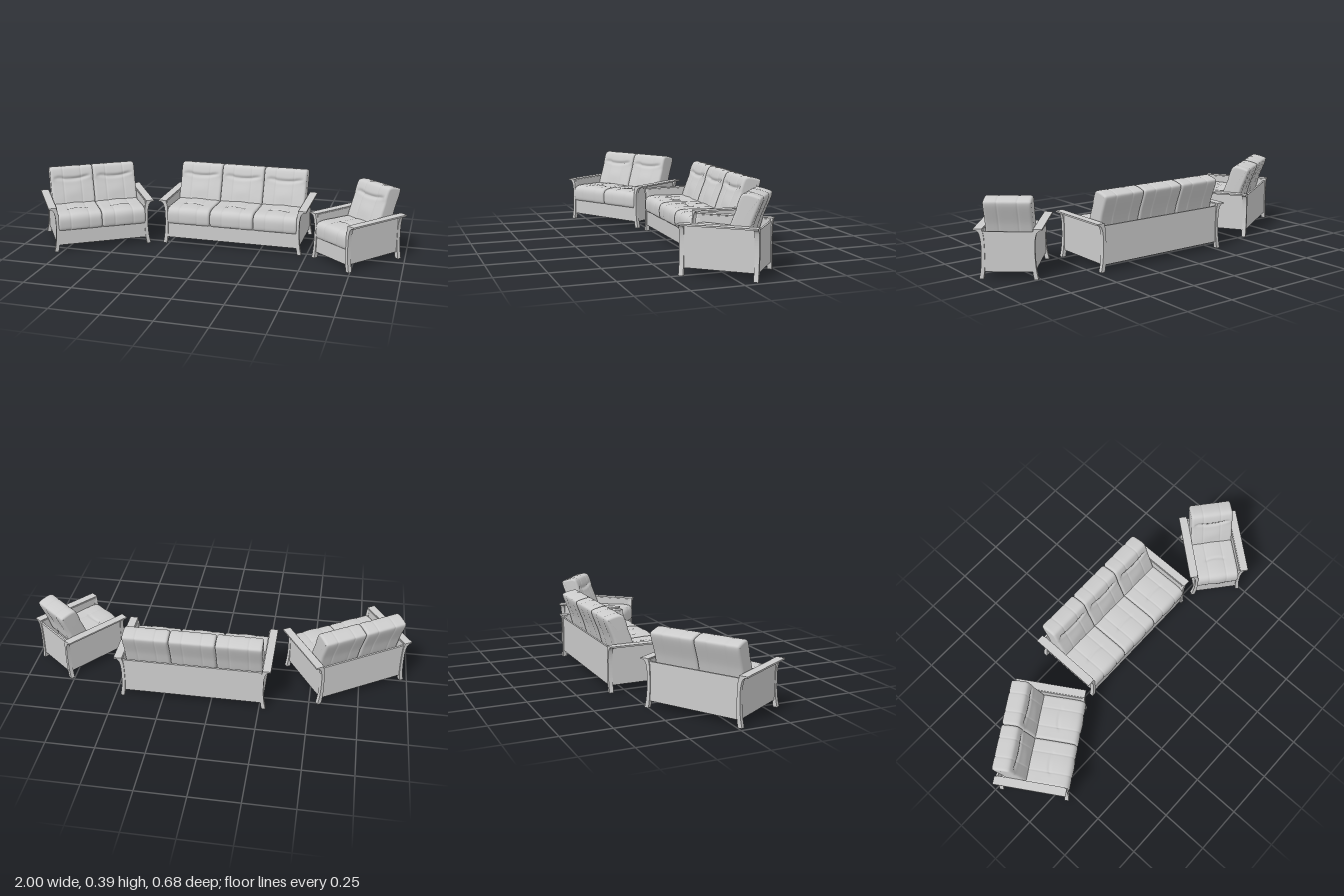
import * as THREE from 'three';

const grey = new THREE.MeshStandardMaterial({ color: 0xcccccc });
const SEAT = 0.24;                 // width of one seat
const BACK = -0.34, FRONT = 0.03;  // depth range of the wooden frame

const add = (parent, name, geometry) => {
  const mesh = new THREE.Mesh(geometry, grey);
  mesh.name = name;
  parent.add(mesh);
  return mesh;
};

const box = (parent, name, x0, x1, y0, y1, z0, z1) =>
  add(parent, name, new THREE.BoxGeometry(Math.abs(x1 - x0), y1 - y0, z1 - z0))
    .position.set((x0 + x1) / 2, (y0 + y1) / 2, (z0 + z1) / 2);

const bump = (d, width) => Math.exp(-((d / width) ** 2));

// Columns across a cushion, closer together at the seams and rounded sides
const half = [0.02, 0.04, 0.047, 0.05, 0.053, 0.06, 0.08, 0.1, 0.107, 0.112, 0.1155, 0.118, 0.119];
const columns = [...half.map(x => -x).reverse(), 0, ...half];

// Cushion: a closed [z, y] profile swept across x, pushed inwards at sides and seams
function cushionGeometry(profile, dent, count = 110) {
  const curve = new THREE.CatmullRomCurve3(profile.map(([z, y]) => new THREE.Vector3(0, y, z)), true);
  const pos = [], index = [], radius = 0.012;
  const loop = Array.from({ length: count }, (_, j) => {
    const p = curve.getPointAt(j / count), t = curve.getTangentAt(j / count);
    return { z: p.z, y: p.y, nz: t.y, ny: -t.z };
  });
  for (const x of columns) {
    const k = Math.max(0, radius - (0.119 - Math.abs(x)));
    const round = radius - Math.sqrt(radius * radius - k * k);
    for (const p of loop) {
      const d = round + dent(x, p);
      pos.push(x, p.y - p.ny * d, p.z - p.nz * d);
    }
  }
  const last = columns.length - 1;
  for (let i = 0; i < last; i++) {
    for (let j = 0; j < count; j++) {
      const a = i * count + j, b = i * count + (j + 1) % count;
      index.push(a, a + count, b + count, a, b + count, b);
    }
  }
  // Flat sides
  const cy = loop.reduce((s, p) => s + p.y, 0) / count;
  const cz = loop.reduce((s, p) => s + p.z, 0) / count;
  const c = pos.length / 3;
  pos.push(columns[0], cy, cz, columns[last], cy, cz);
  for (let j = 0; j < count; j++) {
    const n = (j + 1) % count;
    index.push(c, j, n, c + 1, last * count + n, last * count + j);
  }
  const g = new THREE.BufferGeometry();
  g.setAttribute('position', new THREE.Float32BufferAttribute(pos, 3));
  g.setIndex(index);
  g.computeVertexNormals();
  return g;
}

const seatGeometry = cushionGeometry([
  [-0.24, 0.115], [-0.1, 0.113], [0.015, 0.112], [0.03, 0.118], [0.036, 0.15], [0.033, 0.18],
  [0.021, 0.196], [-0.01, 0.203], [-0.1, 0.201], [-0.2, 0.196], [-0.24, 0.185],
], (x, p) => {
  const upper = p.ny > -0.5 ? 1 : 0;
  const seams = 0.003 * bump(Math.abs(x) - 0.05, 0.003);
  const cross = Math.abs(x) < 0.055 && p.ny > 0.5 ? 0.004 * bump(p.z + 0.085 - 3 * x * x, 0.007) : 0;
  const puff = -0.003 * bump(x, 0.035);
  return upper * (seams + cross + puff);
});

const backGeometry = cushionGeometry([
  [-0.265, 0.165], [-0.195, 0.162], [-0.18, 0.175], [-0.188, 0.21], [-0.208, 0.265], [-0.226, 0.312],
  [-0.229, 0.328], [-0.243, 0.367], [-0.252, 0.38], [-0.27, 0.385], [-0.325, 0.373], [-0.337, 0.366],
  [-0.337, 0.353], [-0.302, 0.26], [-0.277, 0.18],
], (x, p) => {
  const seams = 0.003 * bump(Math.abs(x) - 0.05, 0.003);
  if (p.nz < 0.4) return seams;
  // Headrest crease bowing down in the middle, and a full lumbar area
  const crease = Math.abs(x) < 0.085 ? 0.01 * bump(p.y - 0.322 - 1.5 * x * x, 0.009) : 0;
  const lumbar = -0.004 * bump(x, 0.05) * bump(p.y - 0.25, 0.03);
  return seams + crease + lumbar;
});

// Post outline seen from the front; x counts outwards from the side of the seats
function postGeometry(edge, side) {
  const P = (x, y) => new THREE.Vector2(side * (edge + x), y);
  const outer = new THREE.SplineCurve([P(0.019, 0), P(0.011, 0.04), P(0.006, 0.09), P(0.005, 0.16),
    P(0.009, 0.2), P(0.018, 0.225), P(0.038, 0.237)]).getPoints(24);
  const inner = new THREE.SplineCurve([P(0, 0.238), P(-0.009, 0.2), P(-0.011, 0.1), P(-0.008, 0.04),
    P(-0.002, 0)]).getPoints(16);
  return new THREE.ExtrudeGeometry(new THREE.Shape([...outer, ...inner]),
    { depth: 0.022, bevelEnabled: false });
}

function makeSofa(name, seats, x, z, turn) {
  const unit = new THREE.Group();
  unit.name = name;
  unit.position.set(x, 0, z);
  unit.rotation.y = turn;
  const body = new THREE.Group();
  body.name = 'body';
  body.position.z = -(BACK + FRONT) / 2;
  unit.add(body);
  const edge = seats * SEAT / 2;

  // Closed base and upright back panel
  box(body, 'base', -edge + 0.004, edge - 0.004, 0.035, 0.116, BACK + 0.01, FRONT - 0.006);
  box(body, 'backPanel', -edge + 0.004, edge - 0.004, 0.035, 0.227, BACK + 0.006, BACK + 0.016);

  // Arms: posts with feet, side panel and flat armrest
  for (const side of [-1, 1]) {
    const arm = new THREE.Group();
    arm.name = side > 0 ? 'leftArm' : 'rightArm';
    body.add(arm);
    const post = postGeometry(edge, side);
    add(arm, 'frontPost', post).position.z = FRONT - 0.023;
    add(arm, 'backPost', post).position.z = BACK + 0.001;
    box(arm, 'sidePanel', side * (edge - 0.006), side * (edge + 0.003), 0.035, 0.236, BACK + 0.012, FRONT - 0.012);
    box(arm, 'armrest', side * (edge - 0.002), side * (edge + 0.04), 0.233, 0.241, BACK, FRONT);
  }

  // One seat and back cushion per place
  for (let i = 0; i < seats; i++) {
    const cx = (i - (seats - 1) / 2) * SEAT;
    const fit = (edge - 0.006) / edge;
    for (const [part, geometry] of [['seatCushion', seatGeometry], ['backCushion', backGeometry]]) {
      const cushion = add(body, part, geometry);
      cushion.position.x = cx * fit;
      cushion.scale.x = fit;
    }
  }
  return unit;
}

export function createModel() {
  const model = new THREE.Group();
  model.name = 'sofaSet';
  model.add(
    makeSofa('threeSeater', 3, 0.095, -0.155, 0),
    makeSofa('twoSeater', 2, -0.665, 0.031, THREE.MathUtils.degToRad(32.3)),
    makeSofa('armchair', 1, 0.755, -0.019, THREE.MathUtils.degToRad(-39.6)),
  );
  return model;
}
